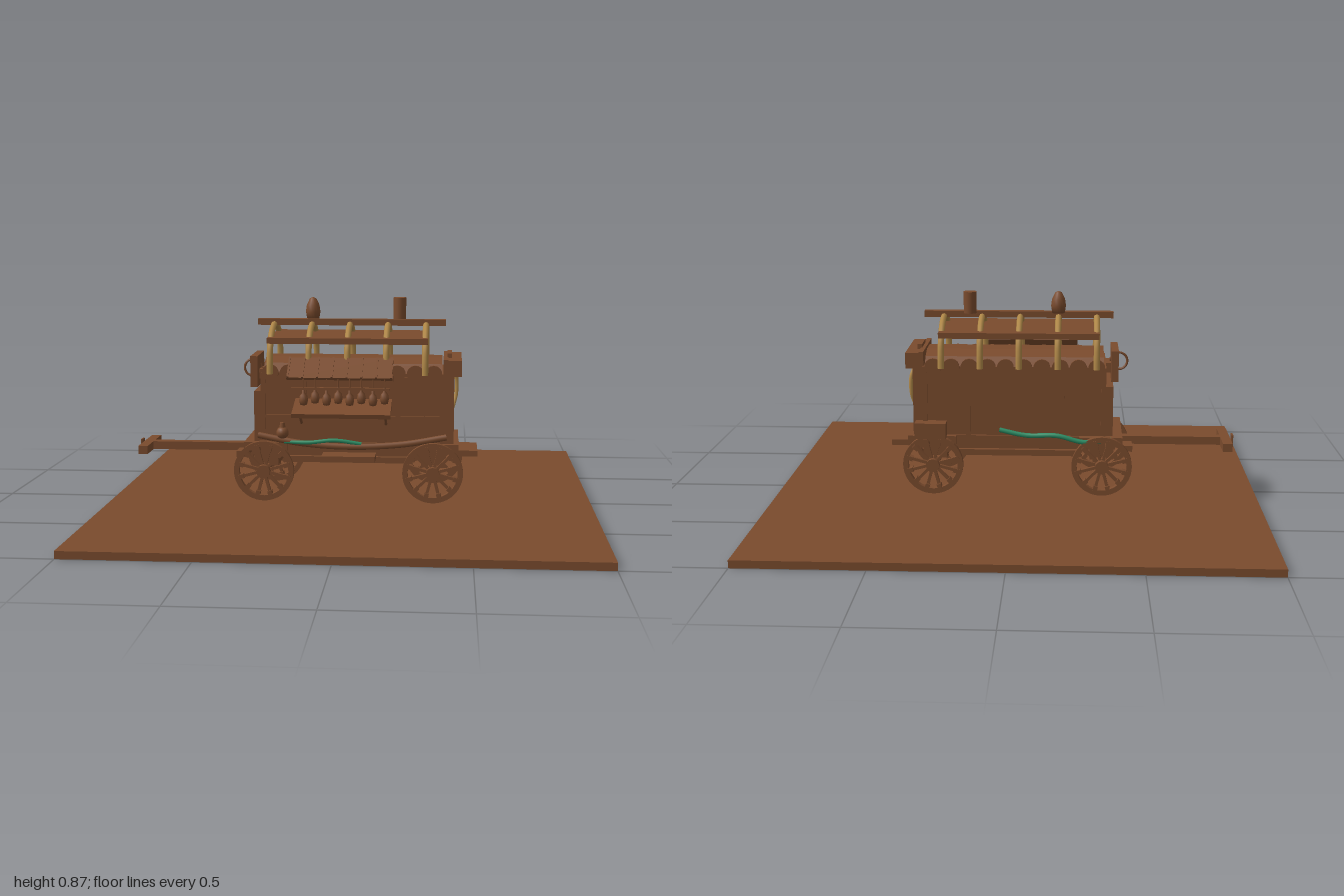
import * as THREE from 'three';

const mat = (name, color, side = THREE.FrontSide) => {
  const m = new THREE.MeshStandardMaterial({ color, side });
  m.name = name;
  return m;
};

export function createModel() {
  const wood = mat('brown wood', 0x7a4b2d);
  const gold = mat('golden wood', 0xb08848);
  const green = mat('green cloth', 0x2a8a62);
  const model = new THREE.Group();

  const add = (name, geo, x = 0, y = 0, z = 0, m = wood, parent = model) => {
    const mesh = new THREE.Mesh(geo, m);
    mesh.name = name;
    mesh.position.set(x, y, z);
    parent.add(mesh);
    return mesh;
  };
  // box given by its limits on each axis
  const box = (name, x0, x1, y0, y1, z0, z1, m = wood, parent = model) =>
    add(name, new THREE.BoxGeometry(x1 - x0, y1 - y0, z1 - z0),
      (x0 + x1) / 2, (y0 + y1) / 2, (z0 + z1) / 2, m, parent);
  const tube = (name, pts, r, m = wood, seg = 24) =>
    add(name, new THREE.TubeGeometry(
      new THREE.CatmullRomCurve3(pts.map(p => new THREE.Vector3(...p))), seg, r, 8), 0, 0, 0, m);
  const lathe = (pts, n = 14) =>
    new THREE.LatheGeometry(pts.map(p => new THREE.Vector2(...p)), n);

  box('ground', -1, 1, 0, 0.03, -1, 1);

  // wheels with spokes, hubs and rim blocks
  const makeWheel = (x, z) => {
    const wheel = new THREE.Group();
    wheel.name = 'wheel';
    wheel.position.set(x, 0.163, z);
    const rim = new THREE.Shape().absarc(0, 0, 0.125, 0, Math.PI * 2);
    rim.holes.push(new THREE.Path().absarc(0, 0, 0.103, 0, Math.PI * 2, true));
    const rimGeo = new THREE.ExtrudeGeometry(rim, { depth: 0.024, bevelEnabled: false, curveSegments: 24 });
    add('rim', rimGeo, 0, 0, -0.012, wood, wheel);
    for (let i = 0; i < 12; i++) {
      const a = (i + 0.5) * Math.PI / 6;
      const spoke = add('spoke', new THREE.BoxGeometry(0.085, 0.012, 0.014),
        Math.cos(a) * 0.065, Math.sin(a) * 0.065, 0, wood, wheel);
      spoke.rotation.z = a;
      const block = add('rimBlock', new THREE.BoxGeometry(0.026, 0.018, 0.03),
        Math.cos(a) * 0.1, Math.sin(a) * 0.1, 0, wood, wheel);
      block.rotation.z = a;
    }
    const hub = add('hub', new THREE.CylinderGeometry(0.028, 0.028, 0.06, 12), 0, 0, 0, wood, wheel);
    hub.rotation.x = Math.PI / 2;
    model.add(wheel);
  };
  for (const x of [-0.355, 0.345]) {
    for (const z of [-0.192, 0.192]) makeWheel(x, z);
    box('axle', x - 0.02, x + 0.02, 0.148, 0.18, -0.2, 0.2);
    box('axleBlock', x - 0.05, x + 0.05, 0.17, 0.23, -0.12, 0.12);
  }

  // undercarriage and drawbar
  box('underBeam', -0.38, 0.38, 0.195, 0.225, -0.05, 0.05);
  box('bed', -0.41, 0.42, 0.225, 0.28, -0.16, 0.165);
  for (const z of [-0.165, 0.17]) box('sideSill', -0.26, 0.25, 0.2, 0.225, z - 0.015, z + 0.015);
  box('frontPlatform', -0.44, -0.26, 0.245, 0.28, -0.18, 0.18);
  box('footBoard', -0.485, -0.44, 0.2, 0.225, -0.1, 0.1);
  box('rearPlatform', 0.25, 0.45, 0.245, 0.28, -0.18, 0.18);
  box('rearStep', 0.42, 0.53, 0.215, 0.24, -0.095, 0.095);
  box('sideStep', -0.11, 0.11, 0.217, 0.24, 0.16, 0.26);
  box('drawbar', -0.9, -0.4, 0.213, 0.247, -0.02, 0.02);
  box('yoke', -0.9, -0.86, 0.213, 0.247, -0.13, 0.13);
  box('drawbarEnd', -0.915, -0.908, 0.205, 0.255, -0.02, 0.02);

  // body walls, posts and rails
  box('body', -0.37, 0.39, 0.27, 0.57, -0.15, 0.155);
  for (const y of [0.388, 0.55]) {
    box('frontRail', -0.37, 0.39, y - 0.006, y + 0.006, 0.155, 0.167);
  }
  for (const x of [-0.36, -0.19, 0.2, 0.38])
    for (const z of [-0.153, 0.158]) box('post', x - 0.01, x + 0.01, 0.28, 0.57, z - 0.008, z + 0.008);
  box('hatchFrame', -0.25, 0.18, 0.54, 0.565, 0.15, 0.175);
  box('smallPlate', 0.26, 0.31, 0.43, 0.46, 0.155, 0.163);
  box('frontBoard', -0.4, -0.37, 0.25, 0.49, -0.15, 0.15);
  box('frontBox', -0.422, -0.392, 0.5, 0.63, -0.1, 0.1);
  box('frontBoxArm', -0.4, -0.36, 0.53, 0.57, -0.05, 0.05);
  add('frontRing', new THREE.TorusGeometry(0.036, 0.005, 6, 20), -0.425, 0.57, 0);

  // rear door end
  box('rearWall', 0.385, 0.405, 0.27, 0.63, -0.15, 0.16);
  for (const z of [-0.135, 0.14]) box('rearPost', 0.4, 0.43, 0.27, 0.61, z - 0.015, z + 0.015);
  box('rearLintel', 0.39, 0.46, 0.56, 0.625, -0.15, 0.16);
  box('rearBracket', 0.4, 0.42, 0.625, 0.645, -0.06, 0.06);
  box('door', 0.4, 0.415, 0.29, 0.56, -0.11, 0.12);
  box('windowFrame', 0.41, 0.425, 0.45, 0.55, -0.1, 0.11);
  box('windowPane', 0.42, 0.43, 0.465, 0.535, -0.075, 0.085);
  box('doorPlate', 0.41, 0.425, 0.365, 0.395, -0.015, 0.015);
  box('rearBar', 0.4, 0.43, 0.275, 0.295, -0.14, 0.15);
  tube('rearHandle', [[0.425, 0.56, -0.1], [0.44, 0.52, -0.115], [0.44, 0.45, -0.117], [0.425, 0.39, -0.1]], 0.008, gold);
  box('rearCrate', 0.29, 0.42, 0.275, 0.34, -0.21, -0.15);

  // low barrel roof under the canopy
  const barrel = new THREE.Shape([[-0.15, 0], [0.15, 0], [0.11, 0.04], [0.05, 0.06], [-0.05, 0.06], [-0.11, 0.04]]
    .map(p => new THREE.Vector2(...p)));
  const roof = add('bodyRoof', new THREE.ExtrudeGeometry(barrel, { depth: 0.74, bevelEnabled: false }), -0.36, 0.565, 0);
  roof.rotation.y = Math.PI / 2;

  // scalloped trim along both long sides
  for (const z of [-0.158, 0.162]) {
    for (let i = 0; i < 10; i++) {
      const disc = add('scallop', new THREE.CylinderGeometry(0.035, 0.035, 0.01, 14), -0.33 + i * 0.075, 0.57, z);
      disc.rotation.x = Math.PI / 2;
    }
  }

  // hoops, canopy board and ridge
  for (let i = 0; i < 5; i++) {
    const pts = [[0.565, 0.172], [0.62, 0.168]];
    for (let k = 1; k < 8; k++) {
      const a = k * Math.PI / 8;
      pts.push([0.62 + Math.sin(a) * 0.138, Math.cos(a) * 0.168]);
    }
    pts.push([0.62, -0.168], [0.565, -0.172]);
    const x = -0.33 + i * 0.16;
    tube('hoop', pts.map(([y, z]) => [x, y, z]), 0.013, gold, 40);
  }
  box('canopyBoard', -0.34, 0.32, 0.692, 0.716, -0.18, 0.18);
  box('ridgeBeam', -0.4, 0.392, 0.754, 0.78, -0.018, 0.016);
  add('finial', lathe([[0, 0], [0.026, 0], [0.031, 0.03], [0.027, 0.058], [0.014, 0.085], [0, 0.092]], 16), -0.17, 0.778, -0.03);
  add('chimney', new THREE.CylinderGeometry(0.027, 0.027, 0.09, 16), 0.197, 0.823, -0.05);

  // sloping awning with slats, hanging bottles and display shelf
  const awning = new THREE.Group();
  awning.name = 'awning';
  awning.position.set(-0.035, 0.595, 0.215);
  awning.rotation.x = 0.63;
  model.add(awning);
  box('awningBoard', -0.215, 0.215, -0.006, 0.006, -0.06, 0.06, wood, awning);
  for (let i = 0; i < 8; i++) {
    const x = -0.21 + i * 0.06;
    box('awningSlat', x - 0.004, x + 0.004, 0.005, 0.011, -0.06, 0.06, wood, awning);
  }
  const bottle = lathe([[0, 0], [0.014, 0.004], [0.019, 0.022], [0.015, 0.042], [0.006, 0.052], [0.006, 0.068], [0, 0.068]], 10);
  for (let i = 0; i < 8; i++) {
    const x = -0.18 + i * 0.047;
    add('bottle', bottle, x, 0.45 + (i % 2) * 0.008, 0.262);
    add('bottleString', new THREE.CylinderGeometry(0.003, 0.003, 0.05, 6), x, 0.54, 0.262);
  }
  box('bottleRail', -0.23, 0.17, 0.515, 0.525, 0.255, 0.27);
  const shelf = add('shelf', new THREE.BoxGeometry(0.4, 0.018, 0.16), -0.025, 0.435, 0.235);
  shelf.rotation.x = 0.26;
  for (const x of [-0.2, 0.15])
    tube('shelfBrace', [[x, 0.36, 0.16], [x, 0.385, 0.2], [x, 0.42, 0.25]], 0.006, wood, 8);

  // hanging pot, draped pole and green cloth strips
  add('pot', new THREE.SphereGeometry(0.026, 14, 10), -0.278, 0.322, 0.18);
  add('potNeck', new THREE.CylinderGeometry(0.01, 0.014, 0.03, 10), -0.278, 0.35, 0.18);
  tube('drapedRope', [[-0.38, 0.31, 0.175], [-0.2, 0.28, 0.185], [0, 0.268, 0.188], [0.22, 0.28, 0.185], [0.4, 0.31, 0.175]], 0.013);
  tube('frontCloth', [[-0.27, 0.285, 0.185], [-0.17, 0.285, 0.198], [-0.06, 0.295, 0.196], [0.05, 0.28, 0.19]], 0.008, green);
  tube('backCloth', [[-0.39, 0.275, -0.185], [-0.28, 0.265, -0.195], [-0.17, 0.29, -0.19], [-0.04, 0.285, -0.17], [0.07, 0.305, -0.16]], 0.01, green);
  return model;
}
